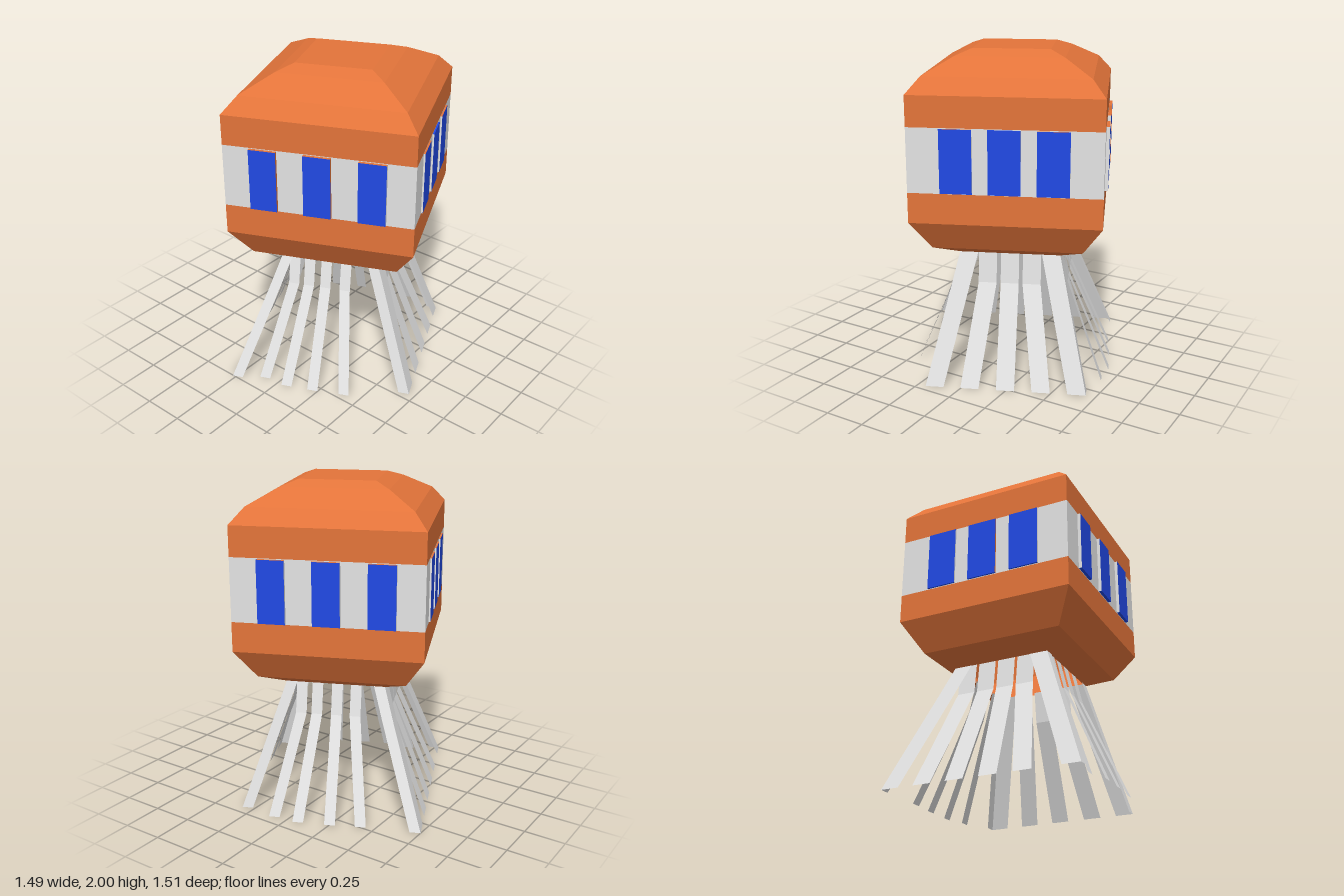
import * as THREE from 'three';
import { mergeGeometries } from 'three/addons/utils/BufferGeometryUtils.js';

const makeMaterial = (name, color) => {
  const m = new THREE.MeshStandardMaterial({ color, flatShading: true, side: THREE.DoubleSide });
  m.name = name;
  return m;
};

// Open square shell through a list of [y, halfWidth] levels
function squareShell(levels) {
  const parts = [];
  for (let i = 0; i < levels.length - 1; i++) {
    const [y0, h0] = levels[i];
    const [y1, h1] = levels[i + 1];
    const g = new THREE.CylinderGeometry(h1 * Math.SQRT2, h0 * Math.SQRT2, y1 - y0, 4, 1, true, Math.PI / 4);
    g.translate(0, (y0 + y1) / 2, 0);
    const flat = g.toNonIndexed();
    flat.computeVertexNormals();
    parts.push(flat);
  }
  return mergeGeometries(parts);
}

// Bent flat strip through [x, y, z] points, foot first; it is wide along x by wx or along z by wz
function stripGeometry(points, wx, wz) {
  const g = new THREE.PlaneGeometry(1, 1, 1, 2).toNonIndexed();
  const p = g.attributes.position;
  for (let i = 0; i < p.count; i++) {
    const [x, y, z] = points[Math.round((p.getY(i) + 0.5) * 2)];
    const t = p.getX(i);
    p.setXYZ(i, x + t * wx, y, z + t * wz);
  }
  g.computeVertexNormals();
  return g;
}

export function createModel() {
  const orange = makeMaterial('orange', 0xe3743a);
  const grey = makeMaterial('light grey', 0xe3e3e3);
  const blue = makeMaterial('blue', 0x2149e4);

  const model = new THREE.Group();
  const tower = new THREE.Group();
  tower.name = 'tower';
  tower.position.set(0.008, 0, -0.027);
  tower.rotation.y = 0.407;
  model.add(tower);

  const add = (parent, name, geometry, material) => {
    const mesh = new THREE.Mesh(geometry, material);
    mesh.name = name;
    parent.add(mesh);
  };

  // Cabin: hollow square shell, open underneath
  const H = 0.556;
  add(tower, 'lowerHull', squareShell([[0.785, 0.54 * H], [0.855, 0.795 * H], [1.04, H], [1.22, H]]), orange);
  add(tower, 'windowBand', squareShell([[1.22, H], [1.6, H]]), grey);
  add(tower, 'roof', squareShell([[1.6, H], [1.78, H], [1.873, 0.86 * H], [1.965, 0.565 * H], [2, 0.405 * H]]), orange);
  const top = new THREE.PlaneGeometry(0.81 * H, 0.81 * H);
  top.rotateX(-Math.PI / 2);
  top.translate(0, 2, 0);
  add(tower, 'roofTop', top, orange);

  // Windows stand slightly proud of the band, with orange heads and a few orange jambs
  const sides = [
    { name: 'front', pitch: 0.316, width: 0.16, proud: 0.019, plusJamb: [-1, 0], minusJamb: [] },
    { name: 'left', pitch: 0.275, width: 0.185, proud: 0.01, plusJamb: [0], minusJamb: [] },
    { name: 'back', pitch: 0.316, width: 0.16, proud: 0.019, plusJamb: [], minusJamb: [1] },
    { name: 'right', pitch: 0.275, width: 0.185, proud: 0.01, plusJamb: [], minusJamb: [] },
  ];
  sides.forEach(({ name, pitch, width, proud, plusJamb, minusJamb }, turn) => {
    const side = new THREE.Group();
    side.name = name + 'Windows';
    side.rotation.y = -turn * Math.PI / 2;
    tower.add(side);
    for (let i = -1; i <= 1; i++) {
      const box = new THREE.BoxGeometry(width, 0.372, 2 * proud);
      box.translate(i * pitch, 1.41, H);
      const jamb = (list) => (list.includes(i) ? orange : grey);
      const head = name === 'right' && i === 0 ? blue : orange;
      add(side, 'window', box, [jamb(plusJamb), jamb(minusJamb), head, blue, blue, blue]);
    }
  });

  // Side struts: wide strips; the corner ones run straight and have a return strip
  const wide = 0.11;
  const narrow = 0.066;
  const sideRows = [
    { name: 'leftStrut', x: -0.565, feet: [0.55, 0.27, 0.065, -0.14, -0.345, -0.55] },
    { name: 'rightStrut', x: 0.555, feet: [0.43, 0.217, 0, -0.215, -0.43] },
  ];
  for (const { name, x, feet } of sideRows) {
    const s = Math.sign(x);
    for (const z of feet) {
      const headZ = THREE.MathUtils.clamp(z * 0.62, -0.245, 0.245);
      const corner = Math.abs(z) > 0.4;
      const knee = corner ? [s * 0.362, 0.6, THREE.MathUtils.lerp(headZ, z, 0.25)] : [s * 0.322, 0.6, headZ];
      const path = [[x, 0, z], knee, [s * 0.297, 0.8, headZ]];
      add(tower, name, stripGeometry(path, 0, wide), grey);
      if (corner) {
        const inset = path.map(([px, py, pz]) => [px - s * narrow / 2, py, pz + Math.sign(z) * wide / 2]);
        add(tower, 'cornerStrut', stripGeometry(inset, narrow, 0), grey);
      }
    }
  }

  // Front and back struts: narrow strips bent at the knee, feet as [x, z]
  const endRows = [
    { name: 'frontStrut', feet: [[-0.36, 0.57], [-0.205, 0.61], [-0.035, 0.61], [0.165, 0.6]] },
    { name: 'backStrut', feet: [[-0.205, -0.6], [-0.02, -0.61], [0.175, -0.61], [0.33, -0.57]] },
  ];
  for (const { name, feet } of endRows) {
    for (const [x, z] of feet) {
      const s = Math.sign(z);
      const path = [[x, 0, z], [x * 0.62, 0.6, s * 0.345], [x * 0.62, 0.8, s * 0.298]];
      add(tower, name, stripGeometry(path, narrow, 0), grey);
    }
  }
  return model;
}
